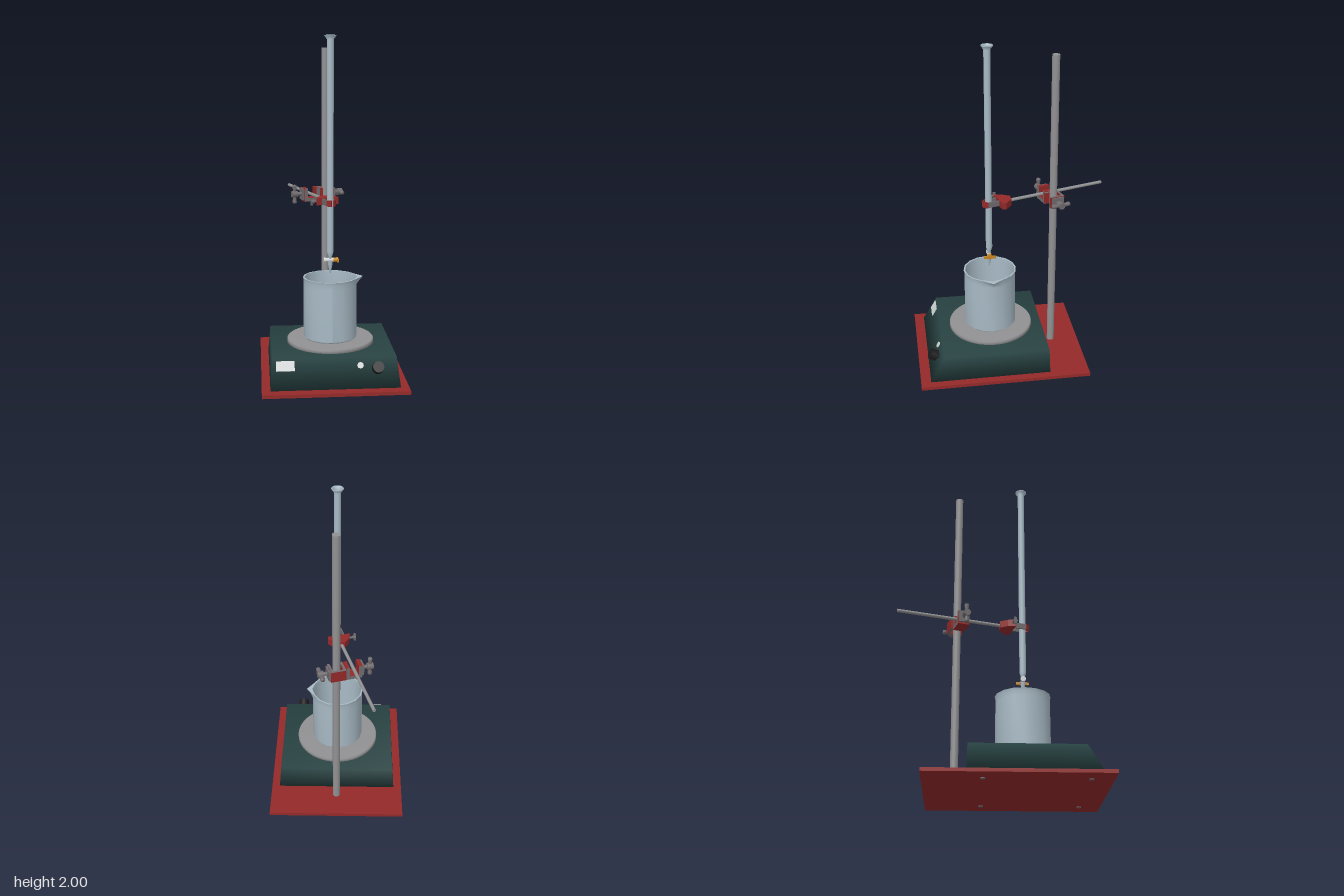
import * as THREE from 'three';
import { mergeVertices } from 'three/addons/utils/BufferGeometryUtils.js';

const mat = (name, color, side = THREE.FrontSide) => {
  const m = new THREE.MeshStandardMaterial({ color, side });
  m.name = name;
  return m;
};

export function createModel() {
  const red = mat('red enamel', 0x942929);
  const green = mat('dark green', 0x284242);
  const steel = mat('steel grey', 0x919092);
  const darkSteel = mat('dark steel', 0x706b6e);
  const glass = mat('pale glass', 0xa8bac5, THREE.DoubleSide);
  const blue = mat('blue liquid', 0x5c5ac4);
  const white = mat('white', 0xd0d4d5);
  const black = mat('black', 0x1c1c1e);
  const orange = mat('orange', 0xc88420);

  const model = new THREE.Group();
  const add = (parent, name, geo, material, x = 0, y = 0, z = 0) => {
    const m = new THREE.Mesh(geo, material);
    m.name = name;
    m.position.set(x, y, z);
    parent.add(m);
    return m;
  };
  const group = (parent, name, x, y, z) => {
    const g = new THREE.Group();
    g.name = name;
    g.position.set(x, y, z);
    parent.add(g);
    return g;
  };
  const box = (w, h, d) => new THREE.BoxGeometry(w, h, d);
  const cyl = (r, len, axis = 'y', r2 = r, seg = 20) => {
    const g = new THREE.CylinderGeometry(r, r2, len, seg);
    if (axis === 'x') g.rotateZ(Math.PI / 2);
    if (axis === 'z') g.rotateX(Math.PI / 2);
    return g;
  };
  const lathe = (pts, seg) => new THREE.LatheGeometry(pts.map(p => new THREE.Vector2(...p)), seg);
  const extrude = (pts, depth) => new THREE.ExtrudeGeometry(
    new THREE.Shape(pts.map(p => new THREE.Vector2(...p))), { depth, bevelEnabled: false }
  ).translate(0, 0, -depth / 2);

  // Base board with four small feet
  add(model, 'baseBoard', box(0.838, 0.02, 1.037), red, 0, 0.015, 0.0875);
  for (const x of [-0.3, 0.3]) for (const z of [-0.1, 0.48])
    add(model, 'foot', cyl(0.014, 0.01), darkSteel, x, 0.005, z);

  // Hot plate housing: a softly shaded box drawn in at the top, with a sloping front
  const rawBox = box(0.74, 0.155, 0.735);
  rawBox.deleteAttribute('normal');
  rawBox.deleteAttribute('uv');
  const housing = mergeVertices(rawBox);
  const hp = housing.attributes.position;
  for (let i = 0; i < hp.count; i++) {
    if (hp.getY(i) > 0) {
      hp.setX(i, hp.getX(i) * 0.965);
      hp.setZ(i, hp.getZ(i) > 0 ? 0.28 : -0.362);
    }
  }
  housing.computeVertexNormals();
  add(model, 'hotPlateHousing', housing, green, 0, 0.1025, 0.1775);

  // Control panel fittings, laid on the sloping front
  const panel = group(model, 'controlPanel', 0, 0.135, 0.483);
  panel.rotation.x = -0.513;
  add(panel, 'labelPlate', box(0.105, 0.058, 0.006), white, -0.283, 0.012, 0.002);
  add(panel, 'indicator', cyl(0.019, 0.008, 'z', 0.019, 8), white, 0.145, 0.006, 0.002);
  add(panel, 'knobStem', cyl(0.016, 0.03, 'z'), black, 0.242, -0.014, 0.012);
  add(panel, 'knob', cyl(0.032, 0.042, 'z', 0.034), black, 0.242, -0.014, 0.034);

  // Heating disc
  add(model, 'heatingDisc', lathe([[0, 0.18], [0.252, 0.18], [0.26, 0.183], [0.26, 0.2],
    [0.254, 0.206], [0, 0.206]], 48), steel, 0, 0, 0.135);

  // Beaker: outer wall, flat rim and inner wall, drawn out to a pouring lip at +x
  const beaker = group(model, 'beaker', 0, 0, 0.135);
  const beakerPart = (name, pts) => {
    const geo = lathe(pts, 16);
    const p = geo.attributes.position;
    for (let i = 0; i < p.count; i++) {
      const x = p.getX(i), y = p.getY(i);
      const atLip = Math.abs(Math.atan2(p.getZ(i), x)) < 0.1;
      const reach = x > 0.157 ? 0.034 : 0.008;
      if (atLip && y > 0.53) p.setX(i, x + reach * (y - 0.53) / 0.047);
    }
    geo.computeVertexNormals();
    add(beaker, name, geo, glass);
  };
  beakerPart('beakerWall', [[0, 0.207], [0.15, 0.207], [0.16, 0.217], [0.16, 0.53], [0.16, 0.56], [0.164, 0.577]]);
  beakerPart('beakerRim', [[0.164, 0.577], [0.154, 0.577]]);
  beakerPart('beakerInside', [[0.154, 0.577], [0.153, 0.56], [0.153, 0.53], [0.153, 0.22]]);
  add(beaker, 'liquid', cyl(0.153, 0.03, 'y', 0.153, 16), blue, 0, 0.236, 0);

  // Burette tube, funnel mouth and tapering tip
  const burette = group(model, 'burette', 0, 0, 0.138);
  add(burette, 'buretteTube', lathe([[0.009, 0.68], [0.012, 0.705], [0.02, 0.73], [0.02, 1.975],
    [0.035, 1.995], [0.035, 2], [0.028, 2], [0.016, 1.975], [0.016, 1.9]], 20), glass);
  add(burette, 'buretteTip', lathe([[0.004, 0.6], [0.007, 0.62], [0.014, 0.655], [0.014, 0.68]], 16), glass);
  // Stopcock: white barrel, orange plug and handle
  add(burette, 'stopcockBarrel', cyl(0.013, 0.055, 'x'), white, -0.008, 0.68, 0);
  add(burette, 'stopcockCap', cyl(0.016, 0.01, 'x'), white, -0.034, 0.68, 0);
  add(burette, 'stopcockPlug', cyl(0.014, 0.028, 'x'), orange, 0.033, 0.68, 0);
  add(burette, 'stopcockHandle', box(0.01, 0.016, 0.075), orange, 0.044, 0.68, 0);

  // Upright stand rod
  add(model, 'standRod', cyl(0.023, 1.91), steel, 0, 0.975, -0.258);

  // Clamp arm; its own z runs along the rod towards the burette
  const arm = group(model, 'clampArm', -0.03, 1.025, 0);
  arm.rotation.y = 0.297;
  add(arm, 'armRod', cyl(0.01, 0.65, 'z', 0.01, 14), steel, 0, 0, -0.308);

  // Red clamp head
  const head = extrude([[-0.018, -0.003], [0.03, 0.006], [0.07, 0.06], [0.065, 0.082],
    [-0.075, 0.08], [-0.053, 0.034]], 0.042).rotateX(Math.PI / 2);
  add(arm, 'clampHead', head, red);
  // Fingers around the burette
  for (const s of [-1, 1]) {
    add(arm, 'clampFinger', box(0.008, 0.034, 0.08), darkSteel, -0.012 + s * 0.024, 0, 0.118);
    const end = add(arm, 'fingerTip', box(0.01, 0.036, 0.032), red, -0.012 + s * 0.017, 0, 0.165);
    end.rotation.y = -s * 0.7;
  }
  // Small tightening screw on the head
  add(arm, 'headScrew', cyl(0.007, 0.04, 'x', 0.007, 12), darkSteel, -0.078, 0, 0.064);
  add(arm, 'headScrewKnob', cyl(0.014, 0.016, 'x', 0.014, 12), darkSteel, -0.096, 0, 0.064);
  add(arm, 'headScrewWing', box(0.01, 0.045, 0.016), darkSteel, -0.1, 0, 0.064);

  // Boss of two open jaws set at right angles: painted sides, bare cut ends
  const boss = group(arm, 'boss', 0, 0, -0.24);
  const jaw = (w, h, t, depth) => extrude([[-w, -h], [w, -h], [w, h], [w - t, h],
    [w - t, t - h], [t - w, t - h], [t - w, h], [-w, h]], depth);
  add(boss, 'armJaw', jaw(0.05, 0.042, 0.022, 0.07), [darkSteel, red], 0.005, -0.004, 0);
  add(boss, 'standJaw', jaw(0.046, 0.045, 0.015, 0.07).rotateX(Math.PI / 2),
    [darkSteel, red], 0.104, 0, -0.004);
  add(boss, 'bossBridge', box(0.02, 0.06, 0.06), red, 0.056, 0, 0);
  // Bare metal bosses that carry the screws
  add(boss, 'standScrewSeat', box(0.012, 0.06, 0.075), darkSteel, 0.155, 0, -0.004);
  add(boss, 'armScrewSeat', box(0.012, 0.07, 0.06), darkSteel, -0.05, 0, 0);

  // Two thumb screws with flared crossbars
  const thumbScrew = (x, dir, axis) => {
    const g = group(boss, 'thumbScrew', x, 0, 0);
    add(g, 'screwShaft', cyl(0.012, 0.07, 'x', 0.012, 14), darkSteel, -dir * 0.035, 0, 0);
    add(g, 'screwHub', cyl(0.021, 0.036, 'x', 0.021, 14), darkSteel);
    const bar = lathe([[0, -0.06], [0.012, -0.058], [0.014, -0.048], [0.009, -0.015],
      [0.009, 0.015], [0.014, 0.048], [0.012, 0.058], [0, 0.06]], 12);
    add(g, 'screwBar', axis === 'z' ? bar.rotateX(Math.PI / 2) : bar, darkSteel);
  };
  thumbScrew(0.2, 1, 'z');
  thumbScrew(-0.1, -1, 'y');

  return model;
}
